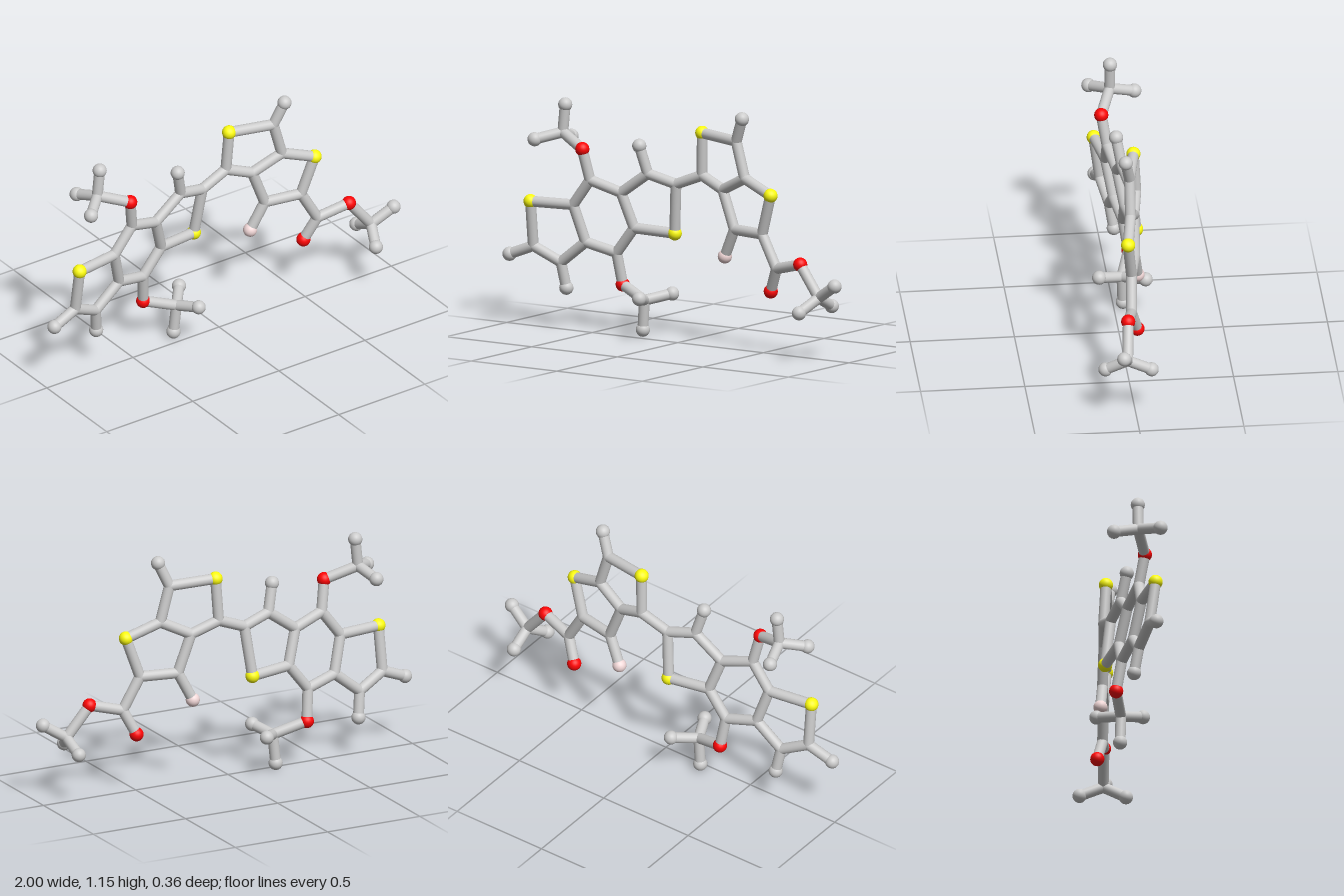
import * as THREE from 'three';

const STICK = 0.026, BALL = 0.034;
const grey = new THREE.MeshStandardMaterial({ color: 0xcccccc });
const red = new THREE.MeshStandardMaterial({ color: 0xff0505 });
const yellow = new THREE.MeshStandardMaterial({ color: 0xffff10 });
const pink = new THREE.MeshStandardMaterial({ color: 0xf2d8d8 });

// The two flat halves of the molecule, each a gently tilted plane
const leftPlane = (x, y) => -0.175 - 0.152 * x + 0.139 * y;
const rightPlane = (x, y) => -0.1315 + 0.185 * x + 0.052 * y;

// kind: C joint, H end, O oxygen, S sulfur, F halogen; z is given only off the plane
const leftAtoms = {
  sA: ['S', -0.835, 0.61], a2: ['C', -0.84, 0.39], a3: ['C', -0.7, 0.32],
  a4: ['C', -0.56, 0.43], a5: ['C', -0.61, 0.61],
  b1: ['C', -0.51, 0.74], b2: ['C', -0.35, 0.69], b3: ['C', -0.297, 0.52], b4: ['C', -0.4, 0.39],
  c1: ['C', -0.2, 0.795], c2: ['C', -0.055, 0.755], sC: ['S', -0.083, 0.51],
  hA2: ['H', -0.97, 0.34], hA3: ['H', -0.683, 0.195], hC1: ['H', -0.233, 0.93],
  oTop: ['O', -0.537, 0.89], mTop: ['C', -0.69, 0.95, -0.025],
  hTop1: ['H', -0.676, 1.085, -0.025], hTop2: ['H', -0.79, 0.918, 0.067], hTop3: ['H', -0.725, 0.912, -0.147],
  oLow: ['O', -0.382, 0.235], mLow: ['C', -0.222, 0.18, -0.037],
  hLow1: ['H', -0.235, 0.036, -0.043], hLow2: ['H', -0.172, 0.207, 0.077], hLow3: ['H', -0.134, 0.207, -0.142],
};
const rightAtoms = {
  d1: ['C', 0.09, 0.81], sD: ['S', 0.1, 1.018], d3: ['C', 0.328, 1.005],
  d4: ['C', 0.377, 0.83], d5: ['C', 0.227, 0.757], hD3: ['H', 0.377, 1.12, 0.004],
  sE: ['S', 0.548, 0.767], e2: ['C', 0.484, 0.572], e3: ['C', 0.297, 0.572],
  f: ['F', 0.227, 0.432], g: ['C', 0.573, 0.415], oG: ['O', 0.516, 0.295, -0.038],
  oEster: ['O', 0.735, 0.455], m: ['C', 0.853, 0.307, 0.042],
  h1: ['H', 0.965, 0.377, 0.07], h2: ['H', 0.81, 0.243, 0.145], h3: ['H', 0.848, 0.252, -0.073],
};

// Each chain lists atoms joined one after another
const chains = [
  'sA a2 a3 a4 a5 sA', 'a5 b1 b2 b3 b4 a4', 'b2 c1 c2 sC b3',
  'a2 hA2', 'a3 hA3', 'c1 hC1',
  'b1 oTop mTop hTop1', 'mTop hTop2', 'mTop hTop3',
  'b4 oLow mLow hLow1', 'mLow hLow2', 'mLow hLow3',
  'c2 d1 sD d3 d4 d5 d1', 'd3 hD3', 'd4 sE e2 e3 d5',
  'e3 f', 'e2 g oG', 'g oEster m h1', 'm h2', 'm h3',
];

const kinds = {
  C: ['jointBall', grey, STICK], H: ['endBall', grey, BALL], O: ['oxygenBall', red, BALL],
  S: ['sulfurBall', yellow, BALL], F: ['halogenBall', pink, BALL],
};

export function createModel() {
  const model = new THREE.Group();
  const balls = new THREE.Group();
  const bonds = new THREE.Group();
  balls.name = 'atoms';
  bonds.name = 'bonds';
  model.add(balls, bonds);

  // Atoms
  const at = {};
  const ballGeo = new THREE.SphereGeometry(1, 24, 16);
  for (const [atoms, plane] of [[leftAtoms, leftPlane], [rightAtoms, rightPlane]]) {
    for (const [id, [kind, x, y, z = plane(x, y)]] of Object.entries(atoms)) {
      const [name, material, radius] = kinds[kind];
      const ball = new THREE.Mesh(ballGeo, material);
      ball.name = name;
      ball.position.set(x, y, z);
      ball.scale.setScalar(radius);
      balls.add(ball);
      at[id] = ball.position;
    }
  }

  // Bonds
  const stickGeo = new THREE.CylinderGeometry(STICK, STICK, 1, 20, 1, true);
  const up = new THREE.Vector3(0, 1, 0);
  for (const chain of chains) {
    const ids = chain.split(' ');
    for (let i = 1; i < ids.length; i++) {
      const a = at[ids[i - 1]], b = at[ids[i]];
      const dir = b.clone().sub(a);
      const stick = new THREE.Mesh(stickGeo, grey);
      stick.name = 'bond';
      stick.position.copy(a).add(b).multiplyScalar(0.5);
      stick.scale.y = dir.length();
      stick.quaternion.setFromUnitVectors(up, dir.normalize());
      bonds.add(stick);
    }
  }
  return model;
}
